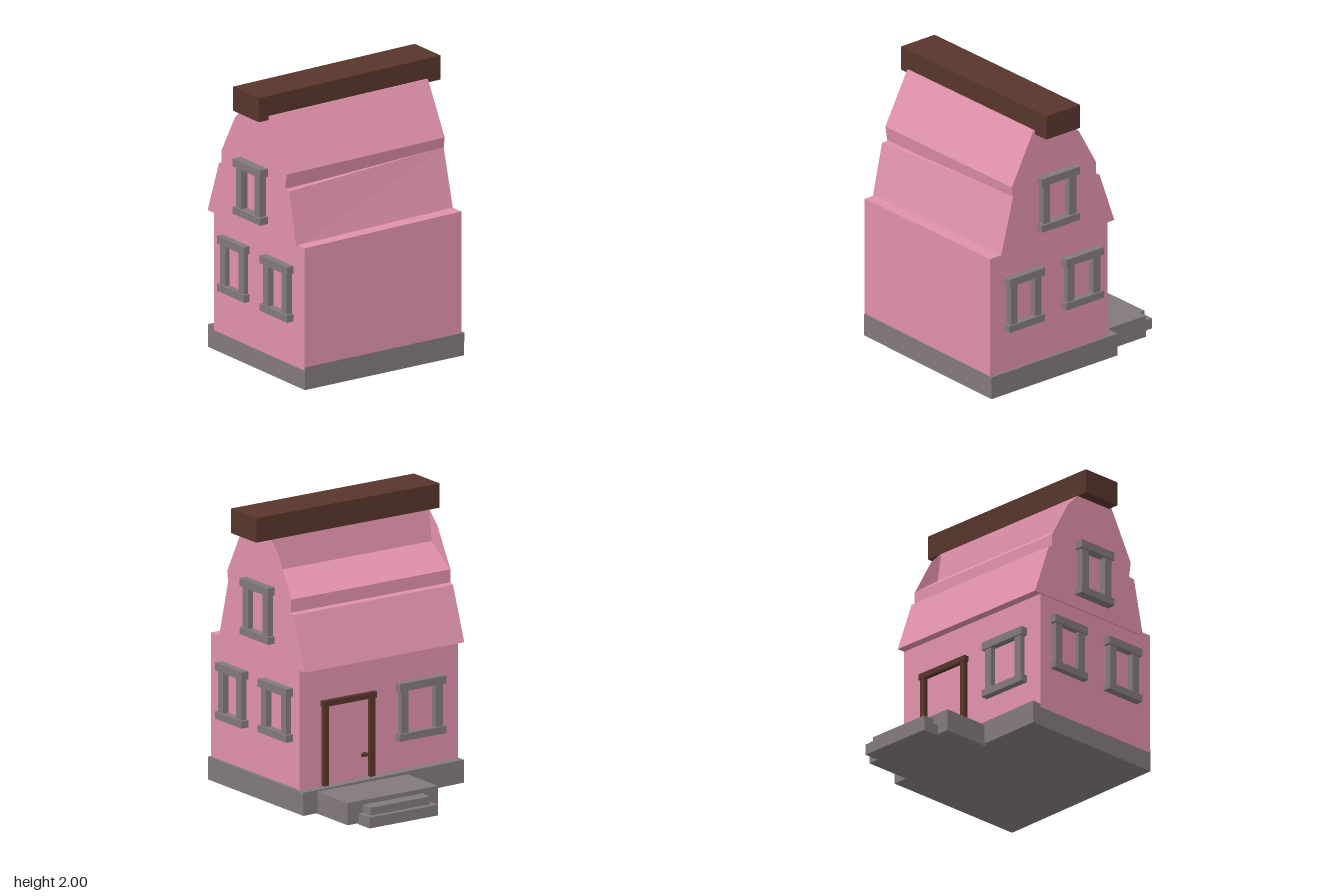
import * as THREE from 'three';

const material = (name, color) => {
  const m = new THREE.MeshStandardMaterial({ color });
  m.name = name;
  return m;
};

export function createModel() {
  const house = new THREE.Group();
  house.name = 'house';
  const pink = material('pink', 0xe091ab);
  const grey = material('stone grey', 0x82797e);
  const brown = material('dark brown', 0x57352b);

  const add = (parent, name, geometry, mat) => {
    const mesh = new THREE.Mesh(geometry, mat);
    mesh.name = name;
    parent.add(mesh);
    return mesh;
  };

  // Box given by its limits on each axis
  const box = (parent, name, mat, [x0, x1], [y0, y1], [z0, z1]) => {
    const mesh = add(parent, name, new THREE.BoxGeometry(x1 - x0, y1 - y0, z1 - z0), mat);
    mesh.position.set((x0 + x1) / 2, (y0 + y1) / 2, (z0 + z1) / 2);
    return mesh;
  };

  // Outline in [z, y] points, extruded along x
  const extrudeX = (name, points, x0, x1) => {
    const shape = new THREE.Shape(points.map(([z, y]) => new THREE.Vector2(-z, y)));
    const geometry = new THREE.ExtrudeGeometry(shape, { depth: x1 - x0, bevelEnabled: false });
    geometry.rotateY(Math.PI / 2).translate(x0, 0, 0);
    return add(house, name, geometry, pink);
  };

  // Foundation, slightly tilted, with porch and steps at the back
  const foundation = box(house, 'foundation', grey, [-0.66, 0.655], [0.02, 0.18], [-0.32, 0.785]);
  foundation.rotation.z = -0.014;
  box(house, 'porch', grey, [-0.2, 0.54], [0.008, 0.162], [-0.67, -0.3]);
  box(house, 'upperStep', grey, [-0.07, 0.415], [0.004, 0.13], [-0.76, -0.66]);
  box(house, 'lowerStep', grey, [-0.11, 0.45], [0, 0.075], [-0.797, -0.66]);

  // Ground floor walls
  box(house, 'walls', pink, [-0.66, 0.635], [0.165, 1.03], [-0.25, 0.78]);

  // Roof body, with a hollow slope at the back between the gables
  extrudeX('roof', [
    [0.69, 1.0], [0.575, 1.4], [0.59, 1.5], [0.4, 1.86], [0.09, 1.83], [0.06, 1.62],
    [-0.15, 1.47], [-0.15, 1.38], [-0.18, 1.37], [-0.31, 1.0],
  ], -0.67, 0.635);

  // Thin gable edges standing above the hollow slope
  const parapet = [[0.09, 1.83], [0, 1.74], [-0.15, 1.47], [0.06, 1.62]];
  extrudeX('rightGableEdge', parapet, -0.67, -0.664);
  extrudeX('leftGableEdge', parapet, 0.629, 0.635);

  // Lower front roof slope, slightly twisted along its length
  const slope = new THREE.BoxGeometry(1.305, 1, 1).toNonIndexed();
  const p = slope.attributes.position;
  for (let i = 0; i < p.count; i++) {
    const left = p.getX(i) > 0;
    const top = p.getY(i) > 0;
    const front = p.getZ(i) > 0;
    const y = top ? (left ? 1.43 : 1.39) : 1.02;
    const z = !front ? 0.45 : top ? (left ? 0.578 : 0.62) : left ? 0.685 : 0.7;
    p.setXYZ(i, p.getX(i) - 0.0175, y, z);
  }
  slope.computeVertexNormals();
  add(house, 'lowerFrontRoof', slope, pink);

  // Ridge beam
  box(house, 'ridgeBeam', brown, [-0.75, 0.75], [1.83, 2], [0.09, 0.385]);

  // Open window frame, facing +z in its own space
  const windowFrame = (name, x, y, z, turn, w = 0.32, h = 0.39) => {
    const frame = new THREE.Group();
    frame.name = name;
    const a = w / 2;
    const b = h / 2;
    box(frame, 'lintel', grey, [-a, a], [b - 0.055, b], [-0.02, 0.055]);
    box(frame, 'sill', grey, [-a, a], [-b, -b + 0.05], [-0.02, 0.055]);
    for (const s of [-1, 1]) {
      const c = s * (a - 0.05);
      box(frame, 'jamb', grey, [c - 0.03, c + 0.03], [-b + 0.05, b - 0.055], [-0.02, 0.043]);
    }
    frame.position.set(x, y, z);
    frame.rotation.y = turn;
    house.add(frame);
  };
  const q = Math.PI / 2;
  windowFrame('leftFrontWindow', 0.635, 0.665, 0.5, q, 0.31);
  windowFrame('leftBackWindow', 0.635, 0.675, -0.007, q, 0.33, 0.37);
  windowFrame('leftUpperWindow', 0.635, 1.317, 0.205, q, 0.33);
  windowFrame('rightFrontWindow', -0.66, 0.675, 0.5, -q, 0.31);
  windowFrame('rightBackWindow', -0.65, 0.675, 0, -q, 0.31);
  windowFrame('rightUpperWindow', -0.68, 1.287, 0.22, -q, 0.31);
  windowFrame('backWindow', -0.34, 0.59, -0.245, Math.PI, 0.38, 0.4);

  // Door frame and handle
  const door = new THREE.Group();
  door.name = 'door';
  house.add(door);
  box(door, 'doorLintel', brown, [0.025, 0.465], [0.725, 0.765], [-0.285, -0.24]);
  for (const x of [0.035, 0.415]) {
    box(door, 'doorJamb', brown, [x, x + 0.04], [0.16, 0.73], [-0.28, -0.24]);
  }
  box(door, 'handleStem', brown, [0.1, 0.12], [0.33, 0.35], [-0.28, -0.24]);
  box(door, 'handle', brown, [0.09, 0.15], [0.33, 0.35], [-0.29, -0.272]);

  return house;
}
